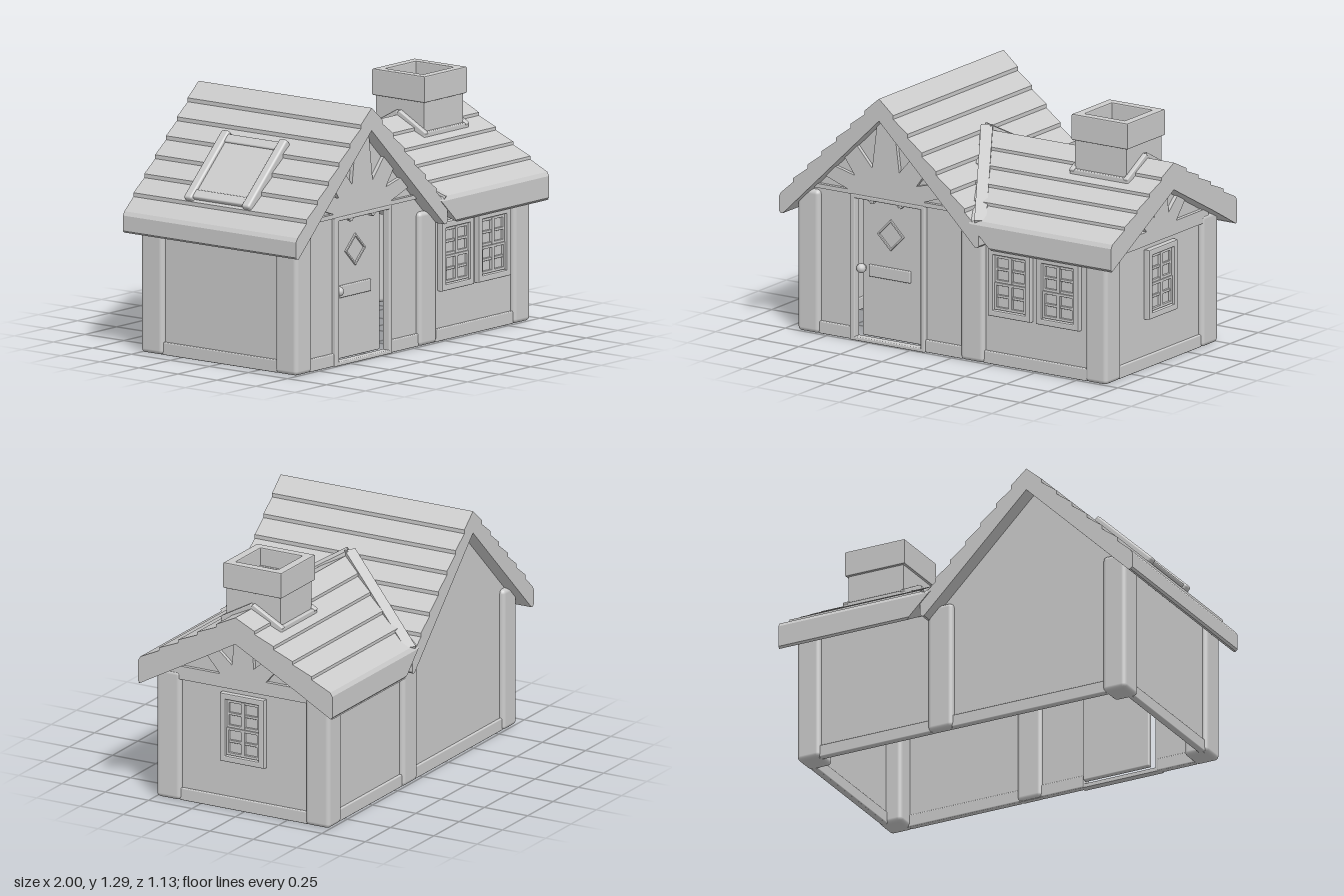
import * as THREE from 'three';
import { RoundedBoxGeometry } from 'three/addons/geometries/RoundedBoxGeometry.js';

const stone = new THREE.MeshStandardMaterial({ color: 0xcccccc });
stone.name = 'pale grey';

function add(parent, name, geometry, x = 0, y = 0, z = 0) {
  const mesh = new THREE.Mesh(geometry, stone);
  mesh.name = name;
  mesh.position.set(x, y, z);
  parent.add(mesh);
  return mesh;
}

// Softened box given by its limits
function block(parent, name, x0, x1, y0, y1, z0, z1, r = 0.006) {
  return add(parent, name, new RoundedBoxGeometry(x1 - x0, y1 - y0, z1 - z0, 2, r),
    (x0 + x1) / 2, (y0 + y1) / 2, (z0 + z1) / 2);
}

const poly = (pts) => new THREE.Shape(pts.map(([x, y]) => new THREE.Vector2(x, y)));
const rect = (w, h) => [[-w / 2, -h / 2], [w / 2, -h / 2], [w / 2, h / 2], [-w / 2, h / 2]];
const extrude = (shape, depth) => new THREE.ExtrudeGeometry(shape, { depth, bevelEnabled: false });

// Rectangular ring with a bevelled edge, w x h outside, border t
function ring(w, h, t, depth, b = 0.006) {
  const shape = poly(rect(w - 2 * b, h - 2 * b));
  shape.holes.push(poly(rect(w - 2 * t + 2 * b, h - 2 * t + 2 * b)));
  return new THREE.ExtrudeGeometry(shape, {
    depth: depth - 2 * b, bevelThickness: b, bevelSize: b, bevelSegments: 2,
  }).translate(0, 0, b);
}

// Gable roof cross-section with overlapping courses on both slopes
function roofProfile(half, ridge, slope, thick, inSlope, course, count, step, low) {
  const side = [[0, ridge]];
  for (let i = 1; i <= count; i++) {
    const d = i * course, y = ridge - slope * d;
    side.push([d, y + step * 0.5], [d, y - step * 0.5]);
  }
  const edge = ridge - slope * half;
  side.push([half - 0.012, edge + 0.008], [half, edge - 0.012], [half, low + 0.01], [half - 0.01, low]);
  const inner = ridge - thick;
  side.push([(inner - low) / inSlope, low]);
  const left = side.slice(1).reverse().map(([x, y]) => [-x, y]);
  return poly([[0, inner], ...left, ...side].reverse());
}

// Sash window facing +z, centred on its origin
function makeWindow(name, w, h) {
  const g = new THREE.Group();
  g.name = name;
  add(g, 'windowFrame', ring(w, h, 0.032, 0.035), 0, 0, 0);
  add(g, 'windowPane', new THREE.BoxGeometry(w - 0.04, h - 0.04, 0.008), 0, 0, 0.004);
  const iw = w - 0.065, ih = h / 2 - 0.035;
  for (const s of [1, -1]) {
    const y = s * ih / 2, z = s > 0 ? 0.004 : 0.008;
    add(g, 'sash', ring(iw, ih, 0.014, 0.016, 0.003), 0, y, z);
    block(g, 'uprightBar', -0.011, 0.011, y - ih / 2, y + ih / 2, 0.004, 0.024, 0.004);
    block(g, 'crossBar', -iw / 2, iw / 2, y - 0.007, y + 0.007, 0.004, 0.019, 0.003);
  }
  return g;
}

// Fan of tapering timbers inside a gable, facing +z
function makeFan(name, timbers) {
  const g = new THREE.Group();
  g.name = name;
  for (const [x0, y0, x1, y1, w0, w1] of timbers) {
    const l = Math.hypot(x1 - x0, y1 - y0), nx = (y1 - y0) / l / 2, ny = -(x1 - x0) / l / 2;
    add(g, 'brace', extrude(poly([[x0 - nx * w0, y0 - ny * w0], [x0 + nx * w0, y0 + ny * w0],
      [x1 + nx * w1, y1 + ny * w1], [x1 - nx * w1, y1 - ny * w1]]), 0.02));
  }
  return g;
}

export function createModel() {
  const house = new THREE.Group();
  house.name = 'cottage';

  // Walls, open underneath
  const outline = [[-0.9, 0], [0.9, 0], [0.9, 0.67], [0.2, 0.67], [-0.4, 1.21], [-0.9, 0.72]];
  const front = poly(outline);
  front.holes.push(poly([[-0.59, 0.02], [-0.185, 0.02], [-0.185, 0.735], [-0.59, 0.735]]));
  add(house, 'frontWall', extrude(front, 0.02), 0, 0, 0.455);
  add(house, 'backWall', extrude(poly(outline), 0.02), 0, 0, -0.475);
  add(house, 'leftWall', new THREE.BoxGeometry(0.02, 0.7, 0.94), -0.895, 0.35, 0);
  add(house, 'rightWall', extrude(poly([[-0.47, 0], [0.47, 0], [0.47, 0.68], [0, 0.94], [-0.47, 0.68]]), 0.02)
    .rotateY(Math.PI / 2), 0.885, 0, 0);

  // Posts and skirting
  for (const s of [1, -1]) {
    const z0 = s > 0 ? 0.36 : -0.5, z1 = z0 + 0.14;
    block(house, 'cornerPost', -0.93, -0.8, 0, 0.74, z0, z1, 0.022);
    block(house, 'middlePost', 0.05, 0.19, 0, 0.68, s > 0 ? 0.44 : -0.5, s > 0 ? 0.5 : -0.44, 0.022);
    block(house, 'cornerPost', 0.8, 0.93, 0, 0.68, z0, z1, 0.022);
    const runs = s > 0 ? [[-0.81, -0.6], [-0.18, 0.06], [0.18, 0.81]] : [[-0.81, 0.06], [0.18, 0.81]];
    for (const [a, b] of runs)
      block(house, 'skirting', a, b, 0, 0.065, s > 0 ? 0.45 : -0.487, s > 0 ? 0.487 : -0.45);
    block(house, 'sideSkirting', s > 0 ? 0.88 : -0.917, s > 0 ? 0.917 : -0.88, 0, 0.065, -0.37, 0.37);
  }

  // Main roof, ridge running front to back
  const pitch = 0.967;
  add(house, 'mainRoof', extrude(roofProfile(0.6, 1.29, pitch, 0.115, 0.977, 0.086, 6, 0.02, 0.61), 1.11),
    -0.4, 0, -0.555);

  // Wing roof, its inner end cut to the slope of the main roof
  const wing = extrude(roofProfile(0.56, 1.05, 0.55, 0.14, 0.536, 0.11, 4, 0.016, 0.61), 1).rotateY(Math.PI / 2);
  const p = wing.attributes.position;
  for (let i = 0; i < p.count; i++)
    if (p.getX(i) < 0.5) p.setX(i, -0.43 + (1.29 - p.getY(i)) / pitch);
  wing.computeVertexNormals();
  add(house, 'wingRoof', wing);

  // Raised strips along the valleys
  for (const s of [1, -1]) {
    const a = new THREE.Vector3(-0.125, 1.06, 0), b = new THREE.Vector3(0.2, 0.735, s * 0.54);
    const strip = add(house, 'valleyStrip', new THREE.BoxGeometry(0.06, 0.04, a.distanceTo(b)));
    strip.position.lerpVectors(a, b, 0.5);
    strip.lookAt(b);
  }

  // Gable timbers
  const mainFan = makeFan('frontGableTimbers', [
    [0, 0.76, 0, 1.19, 0.2, 0.09],
    ...[1, -1].flatMap((s) => [
      [s * 0.04, 0.76, s * 0.23, 1.0, 0.13, 0.1],
      [s * 0.06, 0.77, s * 0.36, 0.86, 0.1, 0.07],
    ]),
    [-0.44, 0.765, 0.44, 0.765, 0.022, 0.022],
  ]);
  mainFan.position.set(-0.4, 0, 0.475);
  const wingFan = makeFan('rightGableTimbers', [
    [-0.42, 0.675, 0.42, 0.675, 0.07, 0.07],
    [0, 0.68, 0, 0.92, 0.14, 0.1],
    ...[1, -1].map((s) => [s * 0.05, 0.69, s * 0.19, 0.83, 0.1, 0.07]),
  ]);
  wingFan.rotation.y = Math.PI / 2;
  wingFan.position.set(0.905, 0, 0);
  house.add(mainFan, wingFan);

  // Door, set back inside its frame
  const door = new THREE.Group();
  door.name = 'door';
  house.add(door);
  for (const [a, b] of [[-0.615, -0.585], [-0.19, -0.165]])
    block(door, 'doorJamb', a, b, 0, 0.755, 0.455, 0.498);
  block(door, 'doorLintel', -0.615, -0.165, 0.735, 0.757, 0.455, 0.498);
  block(door, 'threshold', -0.615, -0.165, 0, 0.02, 0.455, 0.498);
  block(door, 'doorPanel', -0.572, -0.2, 0.02, 0.737, 0.415, 0.445);
  block(door, 'letterSlot', -0.53, -0.28, 0.33, 0.392, 0.44, 0.456);
  add(door, 'doorKnob', new THREE.SphereGeometry(0.025, 12, 8), -0.56, 0.372, 0.475);
  add(door, 'knobStem', new THREE.CylinderGeometry(0.012, 0.012, 0.03, 10).rotateX(Math.PI / 2), -0.56, 0.372, 0.455);
  add(door, 'diamondWindow', ring(0.115, 0.115, 0.01, 0.012, 0.003), -0.4, 0.56, 0.443).rotation.z = Math.PI / 4;

  // Windows
  for (const x of [0.348, 0.638]) {
    const w = makeWindow('frontWindow', 0.255, 0.35);
    w.position.set(x, 0.43, 0.472);
    house.add(w);
  }
  const sideWindow = makeWindow('rightWindow', 0.255, 0.36);
  sideWindow.rotation.y = Math.PI / 2;
  sideWindow.position.set(0.903, 0.435, 0);
  house.add(sideWindow);

  // Chimney with hollow cap and flashing
  const chimney = new THREE.Group();
  chimney.name = 'chimney';
  chimney.position.x = 0.665;
  house.add(chimney);
  add(chimney, 'shaft', ring(0.31, 0.31, 0.045, 0.25).rotateX(-Math.PI / 2), 0, 0.92, 0);
  add(chimney, 'cap', ring(0.335, 0.335, 0.047, 0.135).rotateX(-Math.PI / 2), 0, 1.128, 0);
  for (const s of [1, -1]) {
    block(chimney, 'flashing', -0.177, 0.177, 0.94, 0.98, s * 0.16 - 0.014, s * 0.16 + 0.014);
    for (const x of [-0.163, 0.163])
      add(chimney, 'flashing', new RoundedBoxGeometry(0.028, 0.035, 0.2, 2, 0.006), x, 1.012, s * 0.085)
        .rotation.x = s * Math.atan(0.55);
  }

  // Skylight on the left slope
  const skylight = new THREE.Group();
  skylight.name = 'skylight';
  skylight.position.set(-0.755, 0.947, -0.015);
  skylight.rotation.z = Math.atan(pitch);
  house.add(skylight);
  for (const s of [1, -1]) {
    block(skylight, 'sideRail', -0.215, 0.215, -0.02, 0.035, s * 0.185 - 0.025, s * 0.185 + 0.025, 0.012);
    block(skylight, 'crossRail', s * 0.175 - 0.025, s * 0.175 + 0.025, -0.02, 0.027, -0.18, 0.18, 0.008);
  }
  add(skylight, 'skylightPane', new THREE.BoxGeometry(0.34, 0.009, 0.35), 0, 0.014, 0);

  return house;
}
